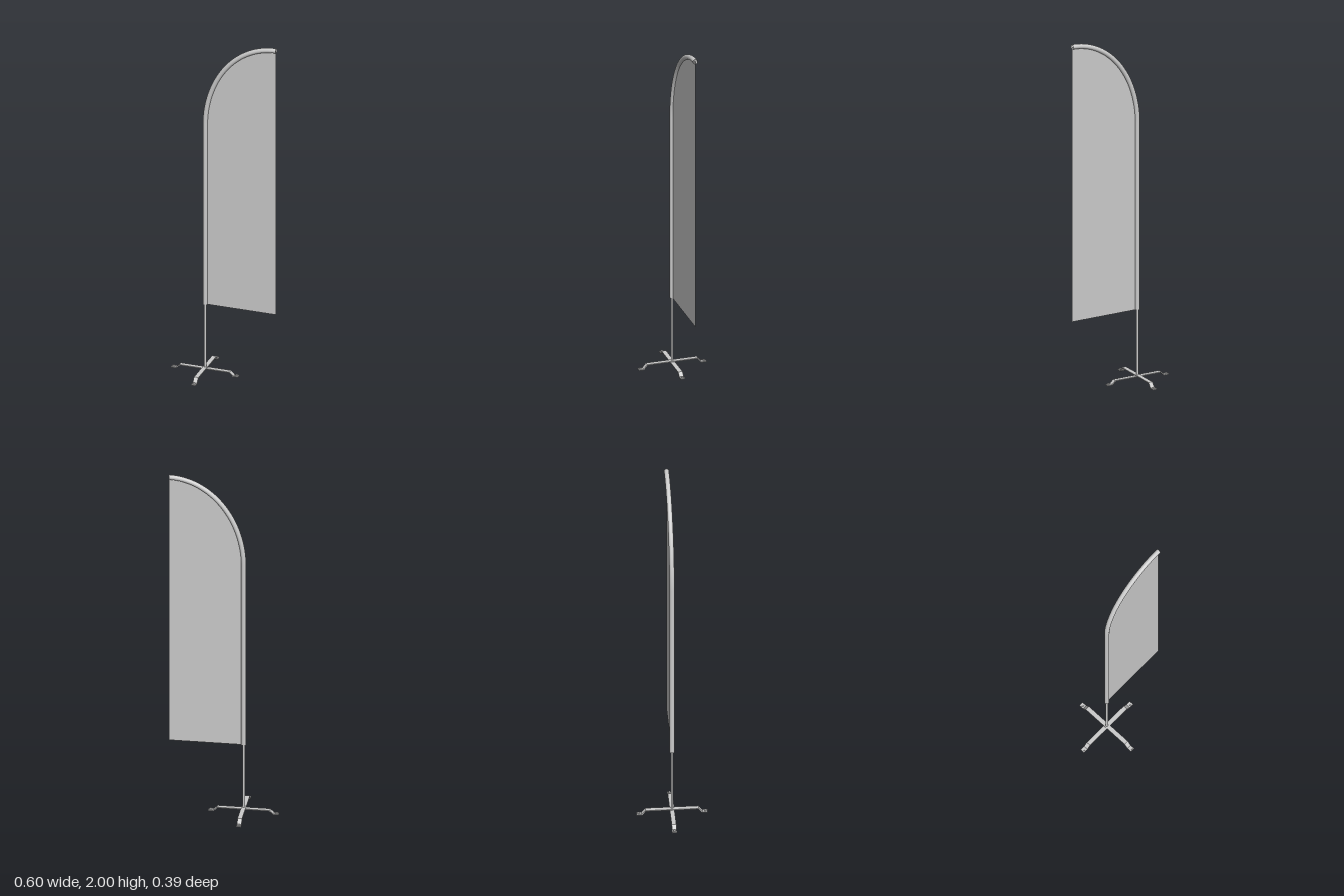
import * as THREE from 'three';

const POLE_X = -0.109, POLE_Z = -0.001;
const BEND_Y = 1.48, TIP_X = 0.3, TIP_Y = 1.986, HEM_Y = 0.405;

const grey = (side = THREE.FrontSide, flatShading = false) =>
  new THREE.MeshStandardMaterial({ color: 0xcccccc, side, flatShading });

function add(parent, name, geometry, material) {
  const mesh = new THREE.Mesh(geometry, material);
  mesh.name = name;
  parent.add(mesh);
  return mesh;
}

// Centre line of the sleeve: straight up, then a quarter ellipse to the tip
class SleeveCurve extends THREE.Curve {
  getPoint(t, target = new THREE.Vector3()) {
    const split = 0.55;
    if (t < split) return target.set(POLE_X, HEM_Y + (BEND_Y - HEM_Y) * t / split, 0);
    const a = (t - split) / (1 - split) * Math.PI / 2;
    return target.set(TIP_X - (TIP_X - POLE_X) * Math.cos(a), BEND_Y + (TIP_Y - BEND_Y) * Math.sin(a), 0);
  }
}

// Bent flat bar, lying along x and centred on the pole
function footBar(top) {
  const t = 0.005, w = 0.025;
  const upper = [[0.145, top], [0.166, t], [0.193, t]];
  const lower = [[0.193, 0], [0.163, 0], [0.142, top - t]];
  const right = [...upper, ...lower];
  const left = right.map(([x, y]) => [-x, y]).reverse();
  const shape = new THREE.Shape([...right, ...left].map(p => new THREE.Vector2(...p)));
  const geo = new THREE.ExtrudeGeometry(shape, { depth: w, bevelEnabled: false });
  return geo.translate(0, 0, -w / 2);
}

export function createModel() {
  const model = new THREE.Group();
  model.name = 'featherFlag';
  const thin = grey(THREE.DoubleSide);
  const flat = grey(THREE.FrontSide, true);

  // Crossed base with a hex bolt on each foot
  const base = new THREE.Group();
  base.name = 'crossBase';
  base.position.set(POLE_X, 0, POLE_Z);
  model.add(base);
  add(base, 'sideFootBar', footBar(0.025), flat);
  add(base, 'frontBackFootBar', footBar(0.03), flat).rotation.y = Math.PI / 2;
  for (let i = 0; i < 4; i++) {
    const a = i * Math.PI / 2;
    const bolt = add(base, 'footBolt', new THREE.CylinderGeometry(0.008, 0.008, 0.005, 6), flat);
    bolt.position.set(0.181 * Math.cos(a), 0.0075, 0.181 * Math.sin(a));
    bolt.rotation.y = Math.PI / 6;
  }

  // Pole, running up inside the sleeve
  const poleTop = 1.45, poleBottom = 0.02;
  add(model, 'pole', new THREE.CylinderGeometry(0.0065, 0.0065, poleTop - poleBottom, 20), grey())
    .position.set(POLE_X, (poleTop + poleBottom) / 2, POLE_Z);

  // Open fabric sleeve
  const curve = new SleeveCurve();
  add(model, 'sleeve', new THREE.TubeGeometry(curve, 120, 0.0135, 20, false), thin).position.z = POLE_Z;

  // Flag cloth, bounded by the sleeve's centre line
  const outline = new THREE.Shape();
  outline.moveTo(TIP_X, HEM_Y);
  outline.lineTo(TIP_X, TIP_Y);
  for (let i = 60; i >= 0; i--) {
    const p = curve.getPoint(i / 60);
    outline.lineTo(p.x, p.y);
  }
  add(model, 'flagCloth', new THREE.ShapeGeometry(outline), thin).position.z = POLE_Z;

  return model;
}
